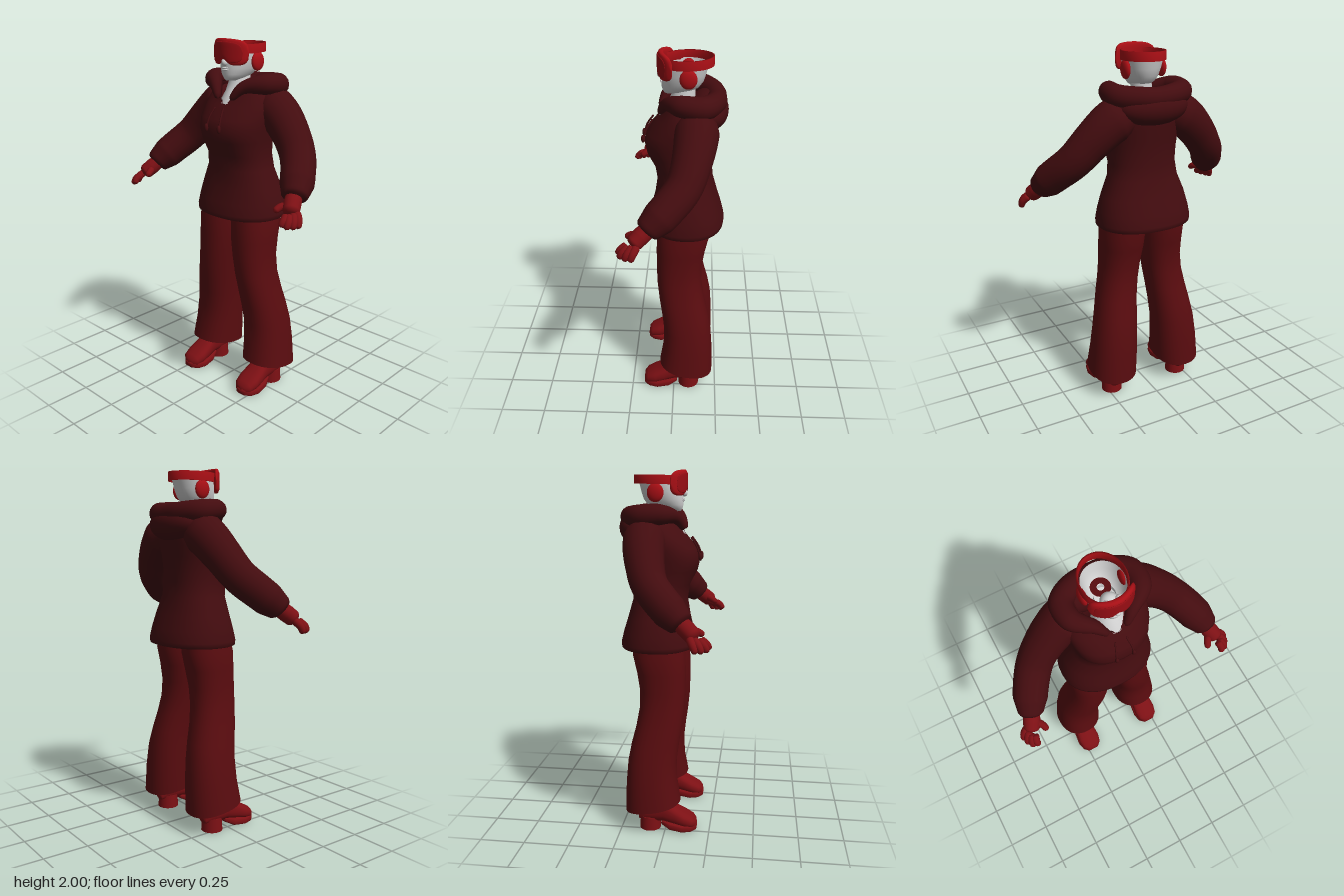
import * as THREE from 'three';
import { mergeVertices } from 'three/addons/utils/BufferGeometryUtils.js';

const V = (x, y, z) => new THREE.Vector3(x, y, z);
const mat = (name, color, side = THREE.DoubleSide) => {
  const m = new THREE.MeshStandardMaterial({ color, side });
  m.name = name;
  return m;
};

// Skin a list of equal-length closed rings
function loft(rings) {
  const n = rings[0].length, pos = [], idx = [];
  rings.forEach(r => r.forEach(p => pos.push(p.x, p.y, p.z)));
  for (let i = 0; i < rings.length - 1; i++)
    for (let j = 0; j < n; j++) {
      const a = i * n + j, b = i * n + (j + 1) % n;
      idx.push(a, b, a + n, b, b + n, a + n);
    }
  const g = new THREE.BufferGeometry();
  g.setAttribute('position', new THREE.Float32BufferAttribute(pos, 3));
  g.setIndex(idx);
  g.computeVertexNormals();
  return g;
}

const ring = (fn, n = 40) => Array.from({ length: n }, (_, j) => {
  const a = j / n * Math.PI * 2;
  return fn(Math.sin(a), Math.cos(a));
});
const soft = (v, e) => Math.sign(v) * Math.abs(v) ** e;

// Horizontal section: height, x range, z range, front tilt and front dip
const level = (y, x0, x1, front, back, tilt = 0, dip = 0, e = 0.88) => ring((s, c) => {
  const d = dip * Math.max(0, c) ** 14;
  return V((x0 + x1) / 2 + (x1 - x0) / 2 * soft(s, e), y + tilt * c - d,
    (front + back) / 2 + (front - back) / 2 * soft(c, e) + d * 0.6);
});

// Tube with interpolated radii and rounded ends
function taper(points, radii, cap = 0.12, seg = 36) {
  const curve = new THREE.CatmullRomCurve3(points.map(p => V(...p)));
  const sides = 16, g = new THREE.TubeGeometry(curve, seg, 1, sides), p = g.attributes.position;
  for (let i = 0; i <= seg; i++) {
    const u = i / seg, c = curve.getPointAt(u), k = u * (radii.length - 1);
    const f = Math.min(Math.floor(k), radii.length - 2);
    const t = Math.max(0, (Math.abs(2 * u - 1) - 1 + cap) / cap);
    const r = THREE.MathUtils.lerp(radii[f], radii[f + 1], k - f) * Math.sqrt(Math.max(0.0001, 1 - t * t));
    for (let j = 0; j <= sides; j++) {
      const q = i * (sides + 1) + j, v = V().fromBufferAttribute(p, q).sub(c).multiplyScalar(r).add(c);
      p.setXYZ(q, v.x, v.y, v.z);
    }
  }
  g.deleteAttribute('uv');
  g.deleteAttribute('normal');
  const m = mergeVertices(g, 1e-5);
  m.computeVertexNormals();
  return m;
}

export function createModel() {
  const root = new THREE.Group();
  root.name = 'skier';
  const jacket = mat('jacket maroon', 0x430c0f), pants = mat('trouser red', 0x590c0f);
  const leather = mat('glove and boot red', 0x7c1014), red = mat('goggle red', 0xa80f15);
  const lensRed = mat('lens red', 0x980d13), skin = mat('pale skin', 0xd2d2d2);
  const add = (name, g, m) => {
    const o = new THREE.Mesh(g, m);
    o.name = name;
    root.add(o);
    return o;
  };
  const ball = (name, m, p, s) => {
    const o = add(name, new THREE.SphereGeometry(1, 24, 16), m);
    o.position.set(...p);
    o.scale.set(...s);
    return o;
  };

  // Jacket body: height, half width, front, back, dip
  add('jacketBody', loft([
    [1.03, 0.255, 0.13, -0.26], [1.035, 0.268, 0.142, -0.272], [1.06, 0.27, 0.145, -0.275],
    [1.12, 0.26, 0.13, -0.26], [1.2, 0.238, 0.11, -0.235], [1.3, 0.197, 0.095, -0.207],
    [1.38, 0.185, 0.108, -0.2], [1.46, 0.195, 0.15, -0.205], [1.52, 0.205, 0.163, -0.21],
    [1.58, 0.215, 0.145, -0.22], [1.65, 0.222, 0.085, -0.225],
    [1.71, 0.2, 0.045, -0.222, 0.04], [1.76, 0.13, 0.02, -0.2, 0.11],
  ].map(([y, w, f, b, d = 0]) => level(y, -w, w, f, b, 0, d))), jacket);

  // Folded hood: rolled collar and hanging pouch
  add('hoodRoll', taper([[0.045, 1.68, 0.08], [0.1, 1.745, 0.04], [0.185, 1.765, -0.04], [0.185, 1.755, -0.14],
    [0.1, 1.75, -0.2], [0, 1.745, -0.215], [-0.1, 1.75, -0.2], [-0.185, 1.755, -0.14], [-0.185, 1.765, -0.04],
    [-0.1, 1.745, 0.04], [-0.045, 1.68, 0.08]],
    [0.015, 0.035, 0.055, 0.062, 0.058, 0.055, 0.058, 0.062, 0.055, 0.035, 0.015], 0.04, 80), jacket);
  ball('hoodPouch', jacket, [0, 1.69, -0.175], [0.2, 0.095, 0.105]);

  for (const s of [1, -1]) {
    const side = s > 0 ? 'left' : 'right';
    const limb = (pts, r, cap, seg) => taper(pts.map(([x, y, z]) => [s * x, y, z]), r, cap, seg);

    // Sleeve with gathered cuff
    add(side + 'Sleeve', limb([[0.1, 1.66, -0.11], [0.2, 1.625, -0.115], [0.31, 1.53, -0.095], [0.4, 1.425, -0.055],
      [0.475, 1.335, 0.03], [0.525, 1.26, 0.115], [0.532, 1.245, 0.13]],
      [0.09, 0.115, 0.108, 0.1, 0.095, 0.093, 0.09, 0.062], 0.06, 60), jacket);
    add(side + 'Drawstring', limb([[0.03, 1.64, 0.115], [0.042, 1.59, 0.148], [0.047, 1.54, 0.166]],
      [0.005, 0.005], 0.05), jacket);
    ball(side + 'DrawstringToggle', jacket, [s * 0.047, 1.535, 0.168], [0.011, 0.022, 0.011]);

    // Glove: wrist, palm, fingers and thumb
    add(side + 'GloveWrist', limb([[0.515, 1.27, 0.1], [0.54, 1.23, 0.15], [0.567, 1.19, 0.195]],
      [0.042, 0.046, 0.042], 0.4), leather);
    [[[0.578, 1.2, 0.165], [0.61, 1.165, 0.185], [0.617, 1.128, 0.2]],
      [[0.575, 1.195, 0.185], [0.603, 1.16, 0.215], [0.606, 1.127, 0.228]],
      [[0.568, 1.19, 0.205], [0.588, 1.16, 0.24], [0.587, 1.13, 0.254]],
      [[0.558, 1.19, 0.215], [0.566, 1.165, 0.25], [0.56, 1.14, 0.263]],
      [[0.535, 1.22, 0.155], [0.502, 1.215, 0.195], [0.488, 1.195, 0.23]]].forEach((pts, i) =>
      add(side + (i < 4 ? 'GloveFinger' : 'GloveThumb'), limb(pts, [0.022, 0.02, 0.016], 0.35, 14), leather));

    // Flared trouser leg: height, inner x, outer x, front, back, tilt
    add(side + 'TrouserLeg', loft([
      [1.12, 0, 0.22, 0.08, -0.19], [1, 0, 0.245, 0.097, -0.195], [0.9, 0.004, 0.245, 0.1, -0.172],
      [0.8, 0.02, 0.245, 0.1, -0.155], [0.7, 0.036, 0.255, 0.096, -0.155], [0.6, 0.05, 0.275, 0.085, -0.172],
      [0.5, 0.06, 0.295, 0.07, -0.197], [0.4, 0.067, 0.315, 0.058, -0.215],
      [0.28, 0.07, 0.332, 0.062, -0.225, 0.01], [0.14, 0.075, 0.348, 0.083, -0.228, 0.03],
    ].reverse().map(([y, x0, x1, f, b, t = 0]) => level(y, s > 0 ? x0 : -x1, s > 0 ? x1 : -x0, f, b, t))), pants);

    // Boot: stations of z, half width, bottom, top
    const boot = (rows, e) => loft(rows.map(([z, w, y0, y1]) => ring((sn, c) =>
      V(s * 0.22 - w * soft(sn, e), (y0 + y1) / 2 + (y1 - y0) / 2 * soft(c, e), z), 24)));
    add(side + 'BootUpper', boot([[-0.155, 0, 0.08, 0.081], [-0.15, 0.035, 0.05, 0.12], [-0.1, 0.055, 0.045, 0.2],
      [-0.01, 0.056, 0.045, 0.19], [0.06, 0.066, 0.035, 0.138], [0.11, 0.07, 0.025, 0.11],
      [0.155, 0.06, 0.02, 0.085], [0.175, 0.035, 0.025, 0.065], [0.178, 0, 0.04, 0.041]], 0.8), leather);
    add(side + 'BootSole', boot([[-0.02, 0, 0.045, 0.046], [-0.02, 0.045, 0.035, 0.06], [0.03, 0.066, 0.008, 0.055],
      [0.1, 0.074, 0, 0.045], [0.15, 0.062, 0.003, 0.045], [0.177, 0.035, 0.01, 0.045],
      [0.18, 0, 0.025, 0.026]], 0.5), leather);
    add(side + 'BootHeel', new THREE.CylinderGeometry(0.056, 0.06, 0.075, 24), leather)
      .position.set(s * 0.22, 0.0375, -0.088);

    // Ear pad and eye
    ball(side + 'EarPad', red, [s * 0.105, 1.876, -0.07], [0.02, 0.05, 0.045]);
    ball(side + 'Eye', skin, [s * 0.034, 1.905, 0.03], [0.019, 0.019, 0.019]);
  }

  // Neck and open-topped head
  add('neck', loft([[1.6, 0.1, 0.1, -0.1], [1.66, 0.085, 0.08, -0.1], [1.72, 0.064, 0.04, -0.105],
    [1.77, 0.056, 0.018, -0.105], [1.83, 0.053, 0.01, -0.105]]
    .map(([y, w, f, b]) => level(y, -w, w, f, b, 0, 0, 1))), skin);
  add('head', loft([[1.775, 0, 0.03, 0.029], [1.777, 0.025, 0.055, -0.02], [1.79, 0.05, 0.064, -0.085],
    [1.81, 0.07, 0.069, -0.125], [1.84, 0.086, 0.07, -0.147], [1.88, 0.098, 0.068, -0.16],
    [1.93, 0.105, 0.058, -0.172]].map(([y, w, f, b]) => level(y, -w, w, f, b, 0, 0, 0.95))), skin);
  ball('nose', skin, [0, 1.874, 0.072], [0.017, 0.02, 0.02]);
  for (const y of [1.834, 1.843]) ball('lip', skin, [0, y, 0.069], [0.024, 0.005, 0.008]);
  ball('innerMouth', skin, [0, 1.84, -0.005], [0.045, 0.05, 0.045]);
  const throat = add('throat', new THREE.RingGeometry(0.018, 0.05, 24), pants);
  throat.rotation.x = -Math.PI / 2;
  throat.position.set(0, 1.835, -0.09);

  // Curved goggles with a nose notch
  const goggles = (w, grow, push, thick) => loft(Array.from({ length: 33 }, (_, i) => {
    const t = i / 16 - 1, x = w * t, end = Math.sqrt(Math.max(0, 1 - t ** 8));
    const top = 1.993 - 0.012 * t * t + grow, bottom = 1.862 + 0.026 * Math.exp(-t * t * 16) - grow;
    const mid = (top + bottom) / 2, h = (top - bottom) / 2 * end;
    return ring((s, c) => V(x, mid + h * soft(c, 0.6), 0.072 + push - 4 * x * x + thick * end * soft(s, 0.6)), 24);
  }));
  add('goggleFrame', goggles(0.12, 0.003, 0, 0.018), red);
  add('goggleLens', goggles(0.105, -0.012, 0.017, 0.004), lensRed);

  // Strap around the head
  const band = (grow, y) => ring((s, c) => V((0.11 + grow) * s, y - 0.003 * c, -0.065 + (0.13 + grow) * c), 48);
  add('goggleStrap', loft([band(0.005, 1.92), band(0.005, 1.968), band(-0.004, 1.968),
    band(-0.004, 1.92), band(0.005, 1.92)]), red);
  return root;
}
